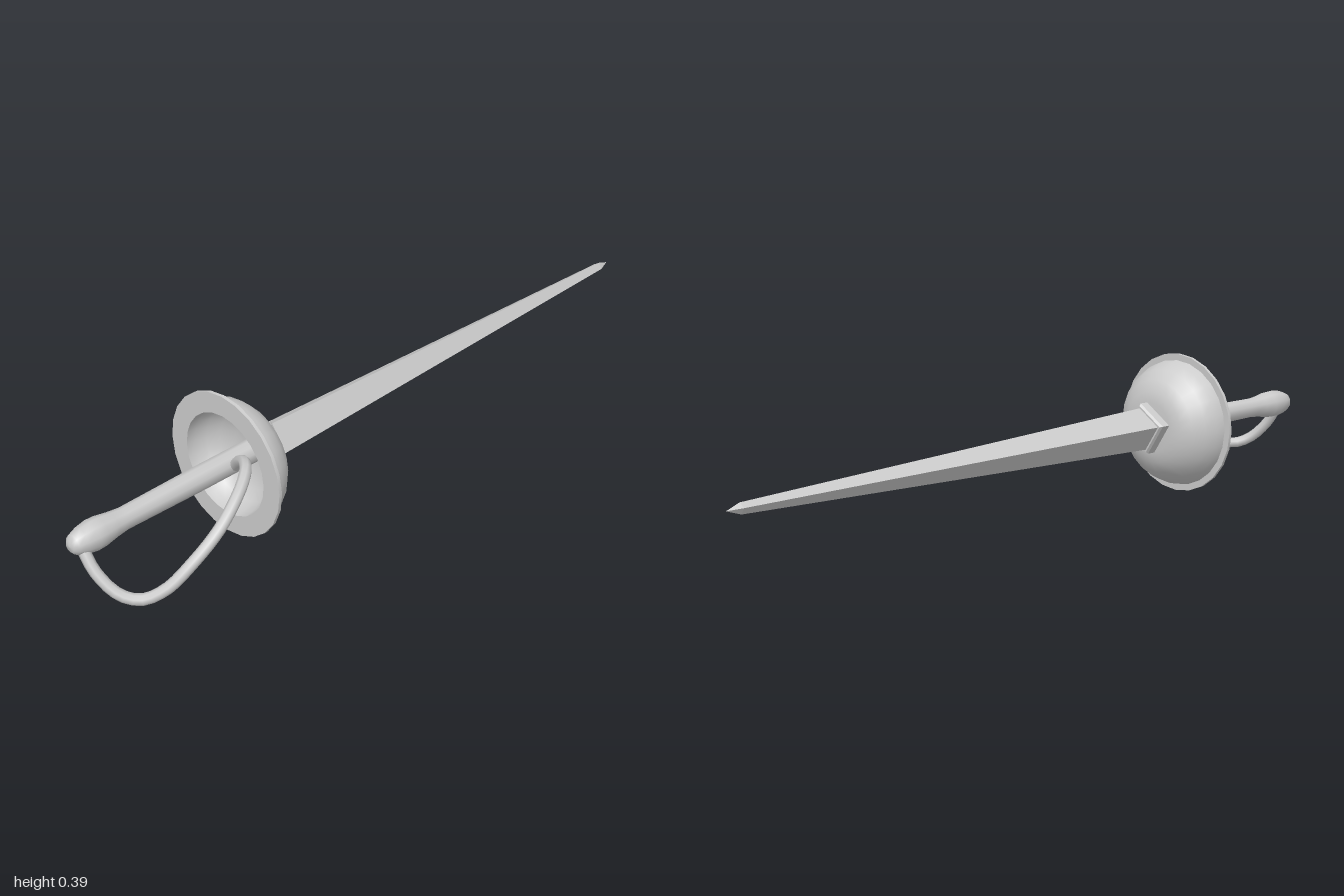
import * as THREE from 'three';
import { toCreasedNormals } from 'three/addons/utils/BufferGeometryUtils.js';

const AXIS_X = -0.0125, AXIS_Y = 0.197;

// Turned shape along z, from [radius, z] pairs ordered back to front
function turned(profile, sides, phase = 0) {
  const pts = profile.map(([r, z]) => new THREE.Vector2(r, z));
  return new THREE.LatheGeometry(pts, sides, phase).rotateX(Math.PI / 2);
}

export function createModel() {
  const group = new THREE.Group();
  const smooth = new THREE.MeshStandardMaterial({ color: 0xcccccc });
  const faceted = new THREE.MeshStandardMaterial({ color: 0xcccccc, flatShading: true });

  function add(name, geometry, material, onAxis = true) {
    const mesh = new THREE.Mesh(geometry, material);
    mesh.name = name;
    if (onAxis) mesh.position.set(AXIS_X, AXIS_Y, 0);
    group.add(mesh);
  }

  // Four-sided blade, slightly twisted about its axis, with a short point
  const twist = -0.21;
  add('blade', turned([[0, -1], [0.014, -0.96], [0.058, 0.385]], 4, twist), faceted);

  // Stepped square collar between blade and guard
  add('collar', turned([[0, 0.373], [0.064, 0.373], [0.07, 0.38], [0.07, 0.405], [0.064, 0.42], [0, 0.42]], 4, twist), faceted);

  // Bowl guard: outer dome, flat flared rim, then the hollow inside
  const bowl = turned([
    [0, 0.408], [0.07, 0.406], [0.1, 0.412], [0.13, 0.43], [0.155, 0.457],
    [0.17, 0.487], [0.176, 0.512], [0.194, 0.512], [0.194, 0.521], [0.139, 0.521],
    [0.136, 0.495], [0.124, 0.468], [0.1, 0.445], [0.06, 0.43], [0, 0.427],
  ], 24);
  add('bowlGuard', toCreasedNormals(bowl, 0.6), smooth);

  // Grip swelling into a rounded pommel
  add('grip', turned([
    [0.031, 0.41], [0.031, 0.6], [0.029, 0.76], [0.028, 0.84], [0.032, 0.875], [0.038, 0.91],
    [0.039, 0.935], [0.034, 0.965], [0.026, 0.988], [0.015, 0.998], [0, 1],
  ], 10), smooth);

  // Knuckle bow sweeping from the guard round to the pommel
  const bow = new THREE.CatmullRomCurve3([
    [0.0, 0.19, 0.505], [0.02, 0.21, 0.512], [0.056, 0.243, 0.53], [0.1, 0.27, 0.555], [0.136, 0.276, 0.585],
    [0.168, 0.258, 0.635], [0.19, 0.204, 0.72], [0.18, 0.142, 0.8], [0.154, 0.088, 0.86],
    [0.118, 0.064, 0.905], [0.08, 0.078, 0.94], [0.03, 0.13, 0.965], [-0.005, 0.185, 0.97],
  ].map((p) => new THREE.Vector3(...p)));
  add('knuckleBow', new THREE.TubeGeometry(bow, 36, 0.015, 8), smooth, false);

  return group;
}
